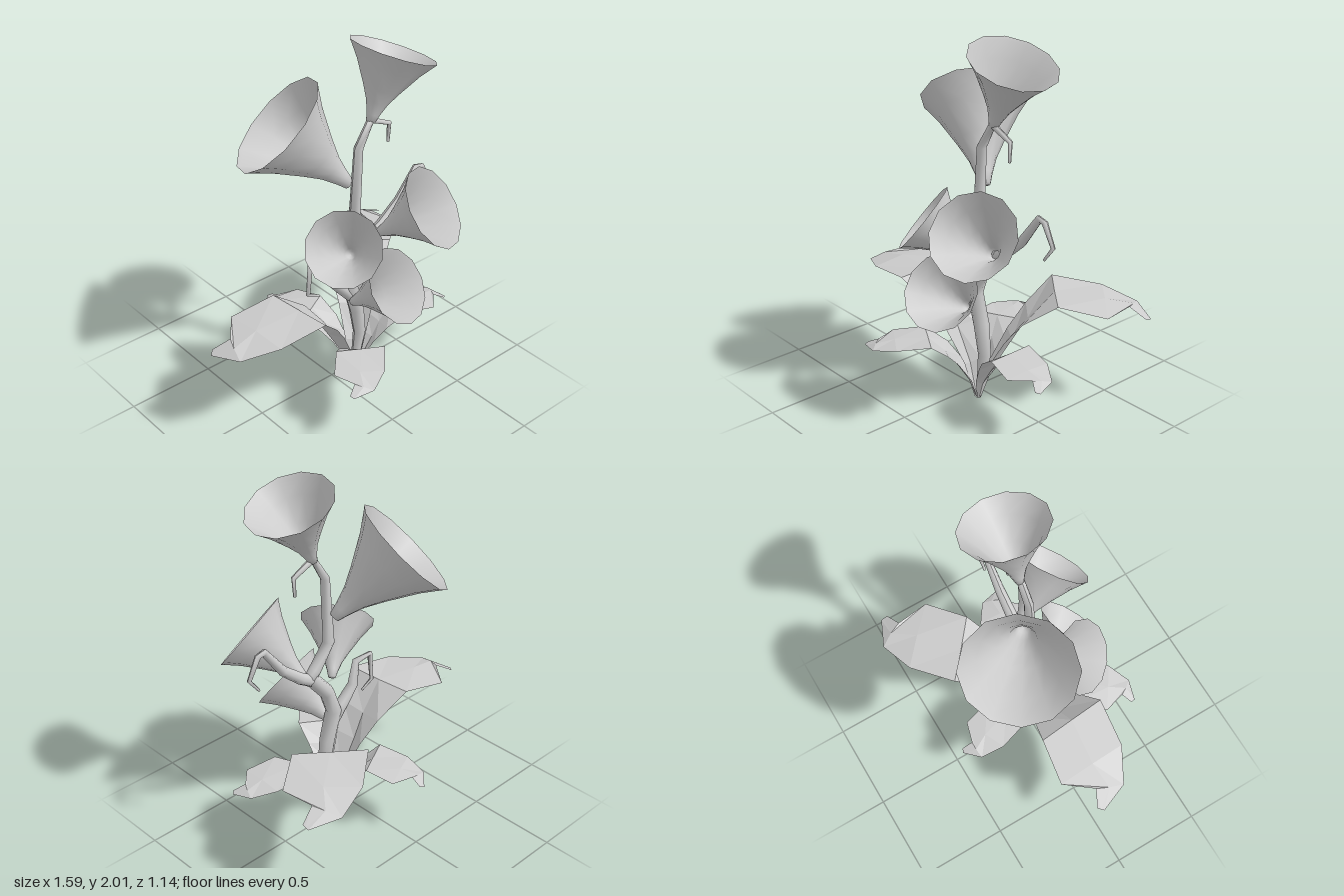
import * as THREE from 'three';

const smooth = new THREE.MeshStandardMaterial({ color: 0xcccccc, side: THREE.DoubleSide });
const faceted = new THREE.MeshStandardMaterial({ color: 0xcccccc, side: THREE.DoubleSide, flatShading: true });
const STEM_Z = 0.065;

function add(parent, name, geometry, material) {
  const mesh = new THREE.Mesh(geometry, material);
  mesh.name = name;
  parent.add(mesh);
  return mesh;
}

// Surface through rows of points; each row holds the same number of [x, y, z]
function loft(rows) {
  const n = rows[0].length, index = [];
  for (let i = 0; i < rows.length - 1; i++) {
    for (let j = 0; j < n - 1; j++) {
      const a = i * n + j, b = a + n;
      index.push(a, a + 1, b, a + 1, b + 1, b);
    }
  }
  const geometry = new THREE.BufferGeometry();
  geometry.setAttribute('position', new THREE.Float32BufferAttribute(rows.flat(2), 3));
  geometry.setIndex(index);
  geometry.computeVertexNormals();
  return geometry;
}

// Tapered branch in the stem plane; path entries are [x, y, radius]
function branch(path, sides = 8) {
  const ring = ([x, y], r, nx, ny) => Array.from({ length: sides + 1 }, (_, k) => {
    const a = -k / sides * Math.PI * 2;
    return [x + nx * r * Math.cos(a), y + ny * r * Math.cos(a), STEM_Z + r * Math.sin(a)];
  });
  const rows = path.map((p, i) => {
    const a = path[Math.max(i - 1, 0)], b = path[Math.min(i + 1, path.length - 1)];
    const dx = b[0] - a[0], dy = b[1] - a[1], l = Math.hypot(dx, dy);
    return ring(p, p[2], -dy / l, dx / l);
  });
  rows.unshift(ring(path[0], 0, 1, 0));
  rows.push(ring(path[path.length - 1], 0, 1, 0));
  return loft(rows);
}

// Trumpet flower from its base point to the centre of its rim
function flower(base, rim, radius) {
  const profile = [[0, 0], [0.1, 0.01], [0.15, 0.12], [0.25, 0.29], [0.42, 0.48], [0.72, 0.78], [0.95, 0.965], [1, 1]]
    .map(([r, y]) => new THREE.Vector2(r, y));
  const from = new THREE.Vector3(...base), axis = new THREE.Vector3(...rim).sub(from);
  const geometry = new THREE.LatheGeometry(profile, 12);
  geometry.scale(radius, axis.length(), radius);
  geometry.applyQuaternion(new THREE.Quaternion().setFromUnitVectors(new THREE.Vector3(0, 1, 0), axis.normalize()));
  geometry.translate(...base);
  return geometry;
}

// Arching leaf: rows of left edge, rib and right edge as [outward, height, sideways]
const LEAF = [
  [[0.01, 0, -0.015], [0.015, 0, 0], [0.01, 0, 0.015]],
  [[0.05, 0.2, -0.055], [0.075, 0.18, 0], [0.05, 0.2, 0.05]],
  [[0.14, 0.38, -0.11], [0.18, 0.36, -0.01], [0.15, 0.38, 0.08]],
  [[0.23, 0.51, -0.17], [0.26, 0.49, -0.03], [0.25, 0.51, 0.11]],
  [[0.358, 0.645, -0.252], [0.395, 0.64, -0.06], [0.435, 0.64, 0.132]],
  [[0.629, 0.61, -0.252], [0.66, 0.62, -0.06], [0.69, 0.6, 0.14]],
  [[0.823, 0.565, -0.173], [0.81, 0.59, -0.09], [0.789, 0.6, -0.02]],
  [[0.904, 0.54, -0.018], [0.892, 0.545, -0.003], [0.879, 0.55, 0.013]],
];

function leaf(degrees, scale, rise) {
  const a = THREE.MathUtils.degToRad(degrees), c = Math.cos(a), s = Math.sin(a);
  return loft(LEAF.map((row) => row.map(([d, y, w]) => [
    0.1 + scale * (d * c - w * s), y * rise, 0.07 + scale * (d * s + w * c),
  ])));
}

export function createModel() {
  const plant = new THREE.Group();
  plant.name = 'plant';

  // Main stem and hooked side shoots
  const stems = {
    mainStem: [[0.1, 0, 0.012], [0.12, 0.12, 0.024], [0.145, 0.28, 0.035], [0.12, 0.45, 0.042],
      [0.07, 0.62, 0.044], [0.12, 0.76, 0.042], [0.23, 0.89, 0.04]],
    upperStem: [[0.25, 0.88, 0.03], [0.2, 0.93, 0.034], [0.1, 1.06, 0.031], [0.12, 1.44, 0.025],
      [0.2, 1.575, 0.021], [0.33, 1.515, 0.013], [0.325, 1.41, 0.008]],
    rightShoot: [[0.2, 0.86, 0.035], [0.3, 0.92, 0.032], [0.42, 1.02, 0.027], [0.54, 1.18, 0.02],
      [0.58, 1.17, 0.016], [0.64, 1.055, 0.012], [0.58, 0.975, 0.007]],
    leftShoot: [[0.08, 0.55, 0.035], [0, 0.64, 0.034], [-0.075, 0.72, 0.028], [-0.1, 0.855, 0.02],
      [-0.205, 0.86, 0.015], [-0.22, 0.69, 0.011], [-0.145, 0.65, 0.006]],
  };
  for (const [name, path] of Object.entries(stems)) add(plant, name, branch(path), smooth);

  // Flowers: base, rim centre, rim radius
  const flowers = {
    topFlower: [[0.2, 1.56, 0.062], [0.345, 1.915, 0.065], 0.233],
    largeBackFlower: [[0.1, 1.22, 0.025], [-0.205, 1.587, -0.185], 0.298],
    rightFlower: [[0.25, 0.89, 0.085], [0.387, 1.118, 0.357], 0.23],
    leftFlower: [[0.07, 0.82, 0.075], [-0.135, 1.027, 0.245], 0.203],
    lowerFlower: [[0.06, 0.53, 0.095], [0.142, 0.738, 0.36], 0.21],
  };
  for (const [name, spec] of Object.entries(flowers)) add(plant, name, flower(...spec), smooth);

  // Two tall leaves and three low ones around the stem
  const leaves = {
    tallRightLeaf: [-39, 1, 1],
    tallLeftLeaf: [-173.7, 1, 1],
    lowFrontLeaf: [132.7, 0.67, 0.595],
    lowSideLeaf: [12, 0.67, 0.595],
    lowBackLeaf: [-106, 0.64, 0.595],
  };
  for (const [name, spec] of Object.entries(leaves)) add(plant, name, leaf(...spec), faceted);

  return plant;
}
